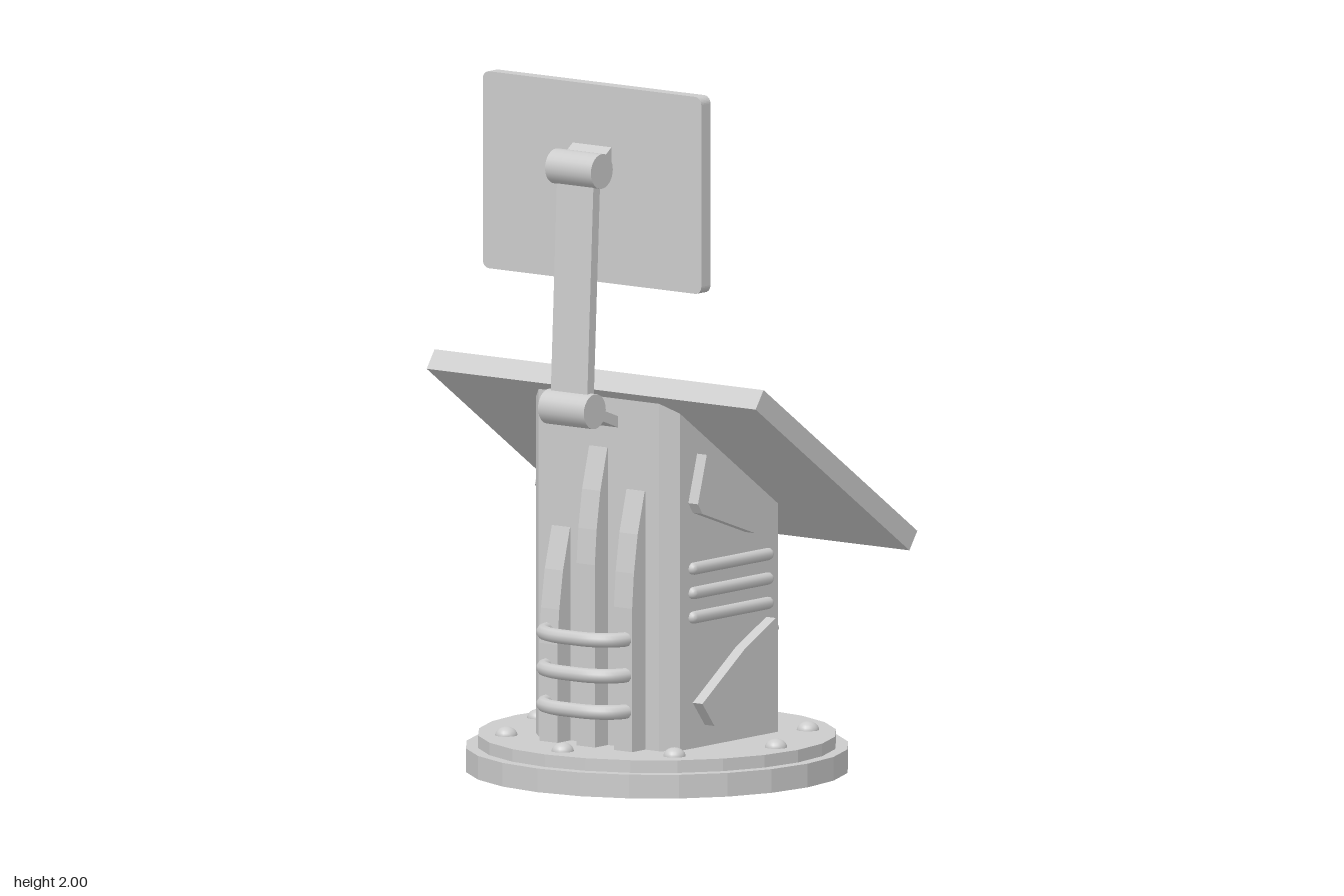
import * as THREE from 'three';

const flat = new THREE.MeshStandardMaterial({ color: 0xcccccc, flatShading: true });
const smooth = new THREE.MeshStandardMaterial({ color: 0xcccccc });

function add(parent, name, geometry, x = 0, y = 0, z = 0, material = flat) {
  const mesh = new THREE.Mesh(geometry, material);
  mesh.name = name;
  mesh.position.set(x, y, z);
  parent.add(mesh);
  return mesh;
}

const polygon = (points) => new THREE.Shape(points.map(([x, y]) => new THREE.Vector2(x, y)));
const extrude = (shape, depth) =>
  new THREE.ExtrudeGeometry(shape, { depth, bevelEnabled: false, curveSegments: 4 });

// Rectangle outline with rounded corners
function roundedRect(w, h, r, Type = THREE.Shape) {
  const s = new Type();
  const x = w / 2, y = h / 2;
  if (!r) return s.moveTo(-x, -y).lineTo(x, -y).lineTo(x, y).lineTo(-x, y).closePath();
  s.absarc(x - r, y - r, r, 0, Math.PI / 2);
  s.absarc(-x + r, y - r, r, Math.PI / 2, Math.PI);
  s.absarc(-x + r, -y + r, r, Math.PI, Math.PI * 1.5);
  s.absarc(x - r, -y + r, r, Math.PI * 1.5, Math.PI * 2);
  return s;
}

// Display facing local +z: back plate, raised rim, groove and inset screen
function display(name, w, h, t, rim, groove, depth, r) {
  const g = new THREE.Group();
  g.name = name;
  add(g, 'backPlate', extrude(roundedRect(w, h, r), t - depth), 0, 0, -t / 2);
  const frame = roundedRect(w, h, r);
  frame.holes.push(roundedRect(w - 2 * rim, h - 2 * rim, 0, THREE.Path));
  add(g, 'rim', extrude(frame, depth), 0, 0, t / 2 - depth);
  const k = 2 * (rim + groove);
  add(g, 'screen', new THREE.BoxGeometry(w - k, h - k, depth * 0.85), 0, 0, t / 2 - depth * 0.575);
  return g;
}

// Box bar running between two points in the y-z plane
function bar(parent, name, width, thick, [z0, y0], [z1, y1]) {
  const length = Math.hypot(z1 - z0, y1 - y0);
  const m = add(parent, name, new THREE.BoxGeometry(width, length, thick), 0, (y0 + y1) / 2, (z0 + z1) / 2);
  m.rotation.x = Math.atan2(z1 - z0, y1 - y0);
}

// Bulge lofted from rows of [y, outer half width, inner half width, z]
function bulgeGeometry(rows, zBack) {
  const pos = [], index = [];
  for (const [y, a, b, z] of rows) pos.push(a, y, zBack, b, y, z, -b, y, z, -a, y, zBack);
  for (let i = 0; i < rows.length - 1; i++) {
    for (let j = 0; j < 3; j++) {
      const p = i * 4 + j;
      index.push(p, p + 1, p + 5, p, p + 5, p + 4);
    }
  }
  const e = (rows.length - 1) * 4;
  index.push(0, 2, 1, 0, 3, 2, e, e + 1, e + 2, e, e + 2, e + 3);
  const g = new THREE.BufferGeometry();
  g.setAttribute('position', new THREE.Float32BufferAttribute(pos, 3));
  g.setIndex(index);
  const out = g.toNonIndexed();
  out.computeVertexNormals();
  return out;
}

export function createModel() {
  const model = new THREE.Group();
  model.name = 'consoleStand';

  // Round stepped base with eight bolts
  add(model, 'baseDisc', new THREE.CylinderGeometry(0.545, 0.545, 0.068, 24), 0, 0.034, 0);
  add(model, 'baseStep', new THREE.CylinderGeometry(0.51, 0.51, 0.04, 24), 0, 0.084, 0);
  const boltGeo = new THREE.SphereGeometry(0.032, 16, 8, 0, Math.PI * 2, 0, Math.PI / 2);
  boltGeo.scale(1, 0.8, 1);
  for (let i = 0; i < 8; i++) {
    const a = (i * Math.PI) / 4;
    add(model, 'bolt', boltGeo, Math.sin(a) * 0.43, 0.103, Math.cos(a) * 0.43, smooth);
  }

  // Chamfered column, its top cut to the slope of the console
  const X = 0.26, Z = 0.265, C = 0.042;
  const column = extrude(polygon([
    [X, -Z + C], [X, Z - C], [X - C, Z], [-X + C, Z],
    [-X, Z - C], [-X, -Z + C], [-X + C, -Z], [X - C, -Z],
  ]), 1);
  column.rotateX(-Math.PI / 2);
  const p = column.attributes.position;
  for (let i = 0; i < p.count; i++) {
    p.setY(i, p.getY(i) > 0.5 ? 0.917 + 0.693 * p.getZ(i) : 0.09);
  }
  column.computeVertexNormals();
  add(model, 'column', column);

  // Sloped console display
  const consoleTop = display('consoleDisplay', 1.19, 0.855, 0.063, 0.053, 0.035, 0.032, 0);
  consoleTop.position.set(0, 0.906, -0.068);
  consoleTop.rotation.x = THREE.MathUtils.degToRad(-125);
  model.add(consoleTop);

  // Upright monitor, facing the operator at the back
  const monitor = display('monitor', 0.79, 0.565, 0.042, 0.043, 0.02, 0.02, 0.022);
  monitor.position.set(0, 1.7175, 0.275);
  monitor.rotation.x = Math.PI;
  model.add(monitor);

  // Monitor arm with two barrel hinges
  const low = [0.388, 1.08], high = [0.356, 1.765];
  bar(model, 'arm', 0.132, 0.03, low, high);
  bar(model, 'lowerBracket', 0.14, 0.03, [0.24, 1.025], low);
  bar(model, 'upperBracket', 0.14, 0.03, high, [0.285, 1.815]);
  for (const [z, y] of [low, high]) {
    const barrel = new THREE.CylinderGeometry(0.05, 0.05, 0.166, 24);
    barrel.rotateZ(Math.PI / 2);
    add(model, 'hinge', barrel, 0, y, z, smooth);
  }

  // Three front ribs of different heights, curving back at the top
  for (const [x, top] of [[-0.135, 0.715], [0, 0.957], [0.135, 0.845]]) {
    const rib = extrude(polygon([
      [0.25, 0.09], [0.325, 0.09], [0.325, top - 0.33], [0.317, top - 0.23],
      [0.3, top - 0.12], [0.268, top], [0.25, top],
    ]), 0.066);
    rib.rotateY(-Math.PI / 2);
    add(model, 'frontRib', rib, x + 0.033, 0, 0);
  }

  // Hoops wrapped around the ribs
  const hoopPath = (y) => new THREE.CatmullRomCurve3([
    [-0.145, 0.25], [-0.145, 0.32], [-0.12, 0.365], [-0.07, 0.392], [0, 0.397],
    [0.07, 0.392], [0.12, 0.365], [0.145, 0.32], [0.145, 0.25],
  ].map(([x, z]) => new THREE.Vector3(x, y, z)));
  for (const y of [0.218, 0.322, 0.425]) {
    add(model, 'hoop', new THREE.TubeGeometry(hoopPath(y), 40, 0.021, 10), 0, 0, 0, smooth);
  }

  // Side plates and grip rails, mirrored
  const plates = [
    ['upperPlate', [[0.145, 0.947], [0.185, 0.81], [0.165, 0.78], [-0.075, 0.695], [-0.155, 0.693], [-0.168, 0.755]]],
    ['lowerPlate', [[0.165, 0.235], [0.11, 0.165], [0, 0.15], [-0.185, 0.41], [-0.17, 0.44], [-0.03, 0.37]]],
  ];
  for (const side of [-1, 1]) {
    for (const [name, points] of plates) {
      const plate = extrude(polygon(points), 0.05);
      plate.rotateY(-Math.PI / 2);
      add(model, name, plate, side > 0 ? 0.295 : -0.245, 0, 0);
    }
    for (const y of [0.48, 0.55, 0.62]) {
      const rail = new THREE.CapsuleGeometry(0.018, 0.34, 4, 10);
      rail.rotateX(Math.PI / 2);
      add(model, 'sideRail', rail, side * 0.262, y, -0.004, smooth);
    }
  }

  // Faceted bulge on the back with a framed hatch
  add(model, 'backBulge', bulgeGeometry([
    [0.095, 0.07, 0.05, -0.272], [0.16, 0.115, 0.07, -0.303], [0.27, 0.15, 0.095, -0.326],
    [0.53, 0.15, 0.095, -0.328], [0.64, 0.12, 0.075, -0.308], [0.73, 0.08, 0.05, -0.275],
  ], -0.26));
  const hatch = display('backHatch', 0.16, 0.27, 0.035, 0.016, 0.0, 0.008, 0);
  hatch.position.set(0, 0.395, -0.328);
  hatch.rotation.x = Math.PI;
  model.add(hatch);

  return model;
}
